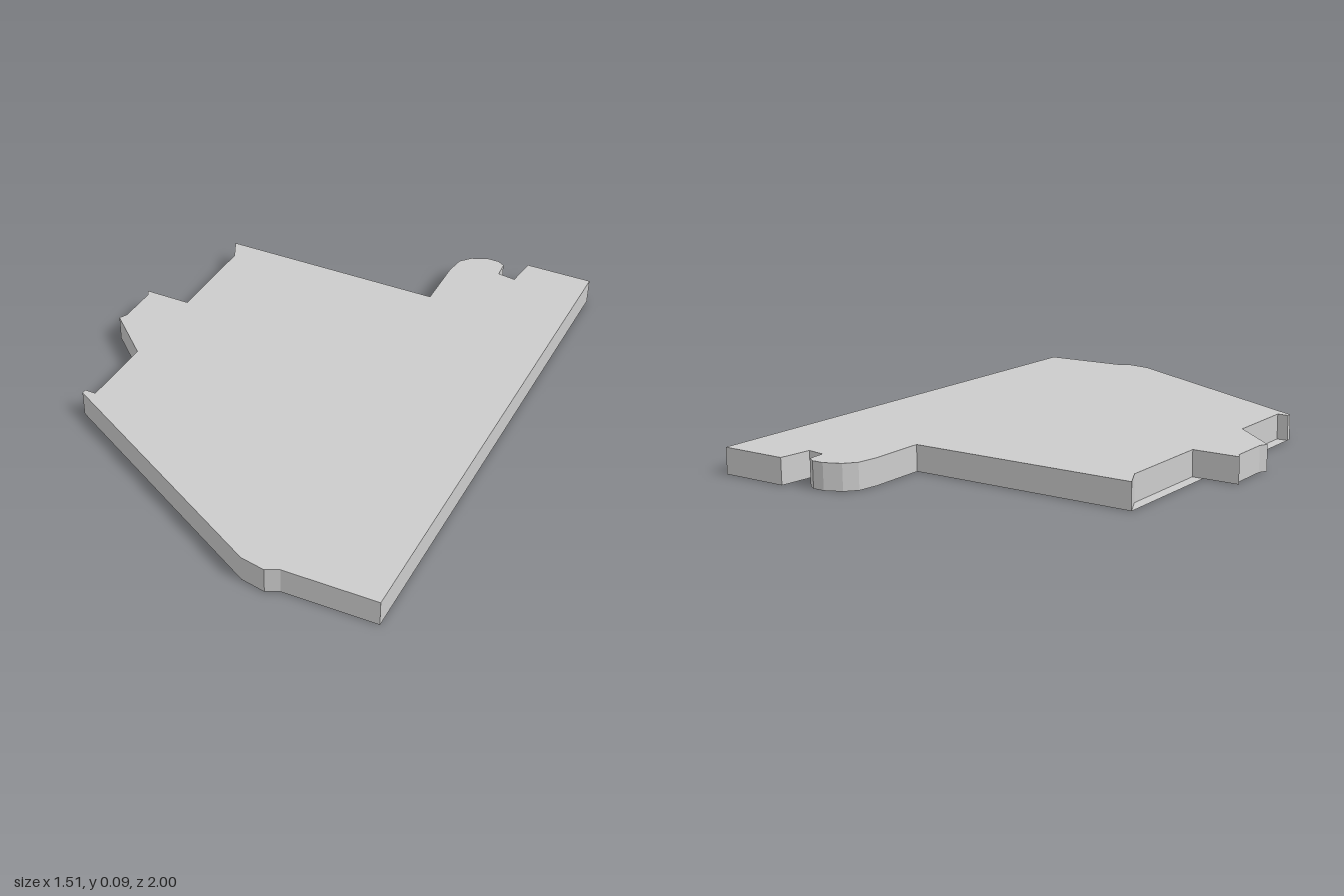
import * as THREE from 'three';

const THICKNESS = 0.095;

// Plan outline given as [x, z] pairs, turned so it lies flat on the ground
const planShape = (points) => new THREE.Shape(points.map(([x, z]) => new THREE.Vector2(x, -z)));

export function createModel() {
  const group = new THREE.Group();
  group.name = 'flatPlate';
  const material = new THREE.MeshStandardMaterial({ color: 0xcccccc, flatShading: true, side: THREE.DoubleSide });

  const add = (name, geometry) => {
    geometry.rotateX(-Math.PI / 2);
    const mesh = new THREE.Mesh(geometry, material);
    mesh.name = name;
    group.add(mesh);
  };

  // Main slab: straight long side, notched back lobe, side tab, slanted front
  const outline = [
    [0.755, 0.965], [0.755, -1], [0.5, -1], [0.487, -0.878],
    [0.418, -0.888], [0.413, -0.955], [0.385, -0.972], [0.34, -0.972],
    [0.28, -0.945], [0.245, -0.905], [0.235, -0.83], [0.24, -0.615],
    [-0.62, -0.615], [-0.578, -0.53], [-0.578, -0.155],
    [-0.755, -0.155], [-0.74, -0.13], [-0.74, 0.02], [-0.755, 0.05],
    [-0.578, 0.205], [-0.578, 0.487], [-0.62, 0.487], [-0.62, 0.505],
    [0.285, 0.985], [0.375, 1], [0.42, 0.977],
  ];
  add('slab', new THREE.ExtrudeGeometry(planShape(outline), { depth: THICKNESS, bevelEnabled: false }));

  // Thin lips left at ground level beside the tab
  add('backLip', new THREE.ShapeGeometry(planShape(
    [[-0.62, -0.615], [-0.62, -0.155], [-0.578, -0.155], [-0.578, -0.53]])));
  add('frontLip', new THREE.ShapeGeometry(planShape(
    [[-0.62, 0.168], [-0.62, 0.487], [-0.578, 0.487], [-0.578, 0.205]])));

  return group;
}
